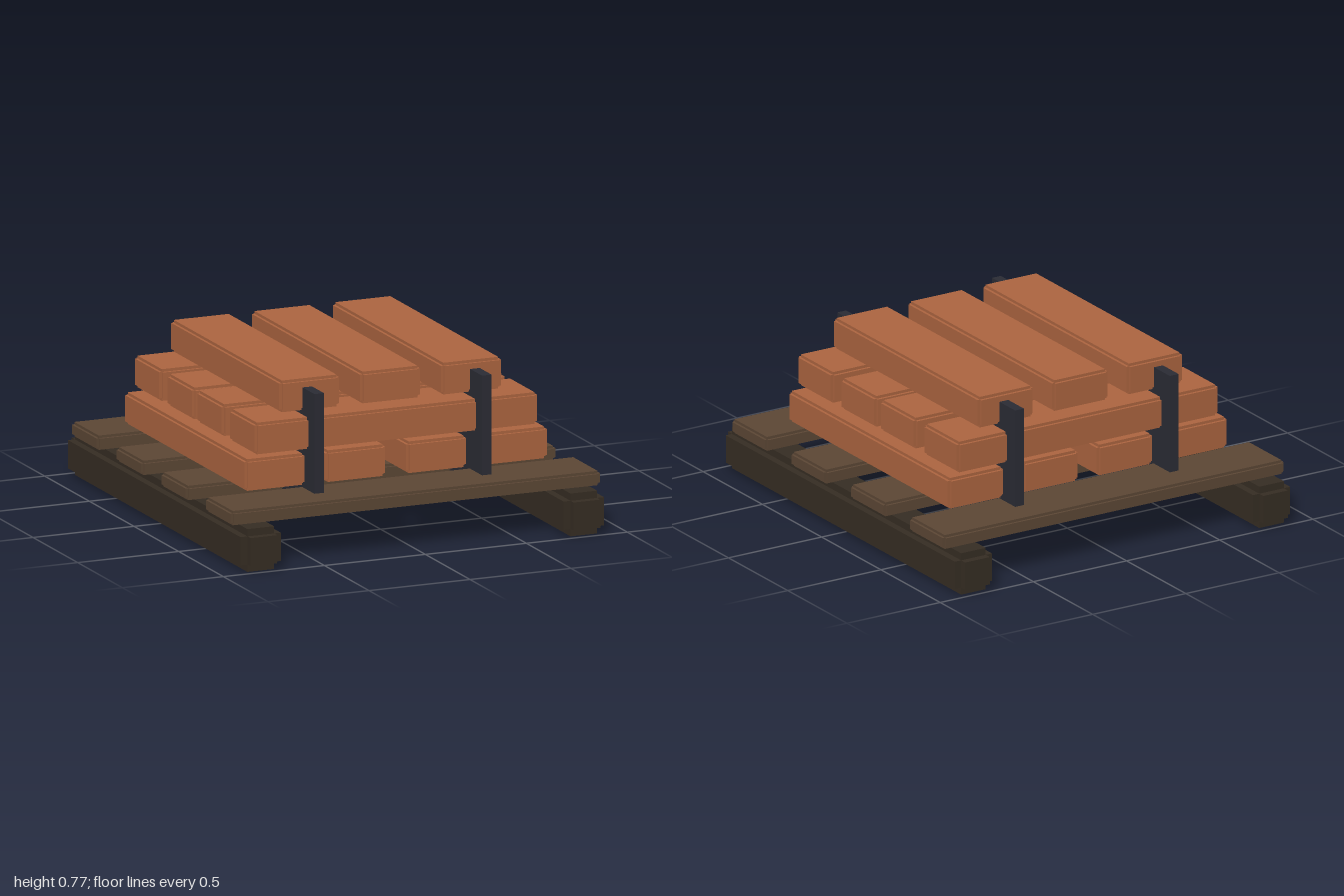
import * as THREE from 'three';
import { mergeGeometries } from 'three/addons/utils/BufferGeometryUtils.js';

const material = (name, color) => {
  const m = new THREE.MeshStandardMaterial({ color });
  m.name = name;
  return m;
};

// Block with square notches along every edge: three crossing boxes, each full size on one axis
function notchedBlock(w, h, d, n) {
  const t = 2 * n;
  return mergeGeometries([
    new THREE.BoxGeometry(w, h - t, d - t),
    new THREE.BoxGeometry(w - t, h, d - t),
    new THREE.BoxGeometry(w - t, h - t, d),
  ]);
}

export function createModel() {
  const model = new THREE.Group();
  model.name = 'brickPallet';

  const darkWood = material('dark wood', 0x362d23);
  const wood = material('wood', 0x5c4735);
  const clay = material('clay', 0xad6540);
  const iron = material('iron', 0x2b2c35);

  const add = (name, geometry, mat, x, y, z) => {
    const mesh = new THREE.Mesh(geometry, mat);
    mesh.name = name;
    mesh.position.set(x, y, z);
    model.add(mesh);
  };

  // Runners, front to back
  const runner = notchedBlock(0.2, 0.2, 2, 0.034);
  for (const x of [-0.8, 0.8]) add('runner', runner, darkWood, x, 0.1, 0);

  // Deck planks
  const plank = notchedBlock(1.83, 0.067, 0.297, 0.012);
  for (const z of [-0.75, -0.25, 0.25, 0.75]) add('deckPlank', plank, wood, 0, 0.2365, z);

  // Bottom and top layers run front to back, the middle one side to side
  const bottomBrick = notchedBlock(0.297, 0.148, 1.36, 0.013);
  for (const x of [-0.6, -0.2, 0.2, 0.6]) add('bottomBrick', bottomBrick, clay, x, 0.369, 0);

  const middleBrick = notchedBlock(1.4, 0.148, 0.298, 0.013);
  for (const z of [-0.532, -0.166, 0.166, 0.532]) add('middleBrick', middleBrick, clay, 0, 0.535, z);

  const topBrick = notchedBlock(0.297, 0.148, 1.234, 0.013);
  for (const x of [-0.4, 0, 0.4]) add('topBrick', topBrick, clay, x, 0.701, 0);

  // Upright straps running through the stack
  const strap = new THREE.BoxGeometry(0.047, 0.53, 1.5);
  for (const x of [-0.415, 0.415]) add('strap', strap, iron, x, 0.471, 0);

  return model;
}
